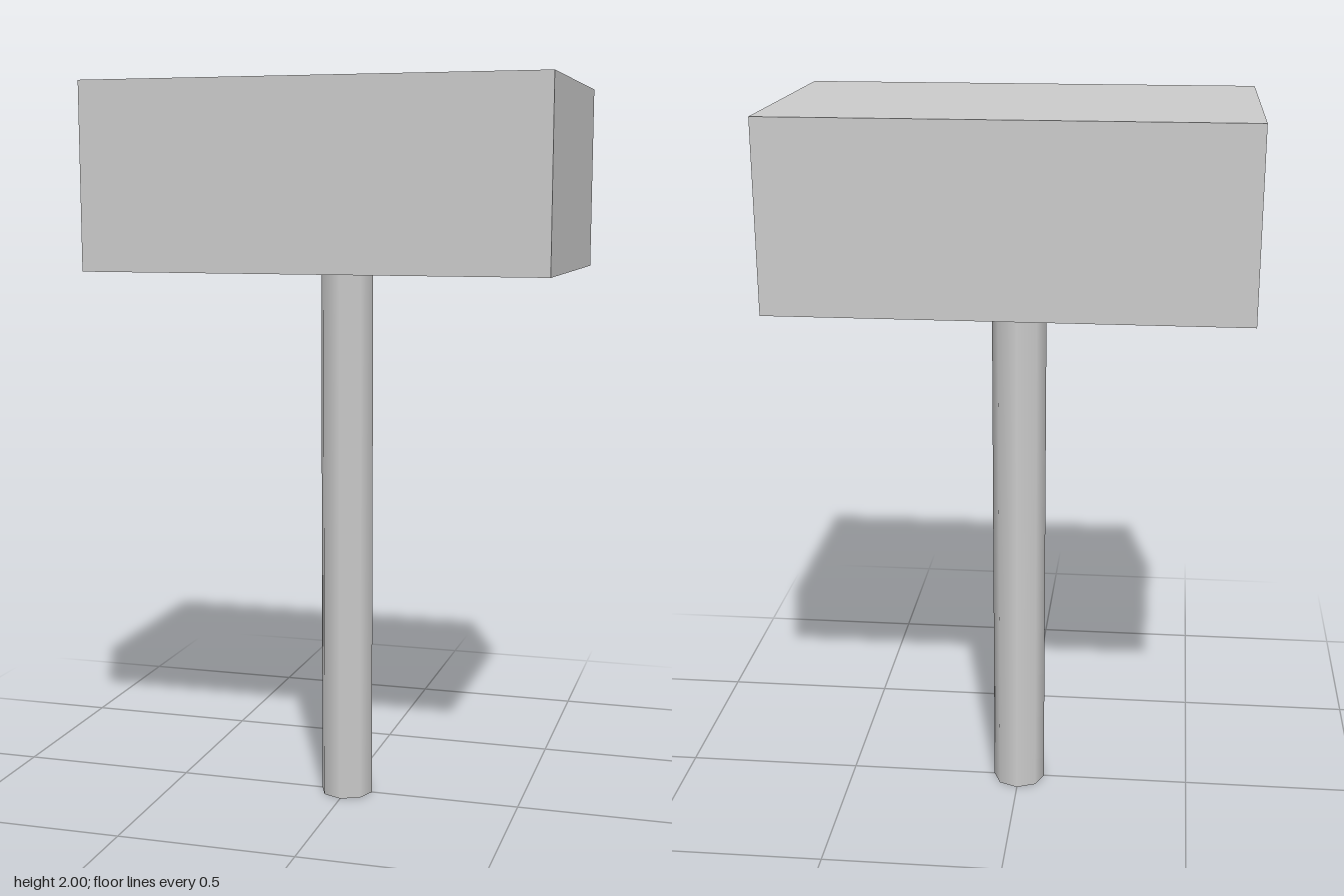
import * as THREE from 'three';

export function createModel() {
  const model = new THREE.Group();
  const material = new THREE.MeshStandardMaterial({ color: 0xcccccc });

  const addPart = (name, geometry, y) => {
    const mesh = new THREE.Mesh(geometry, material);
    mesh.name = name;
    mesh.position.y = y;
    model.add(mesh);
  };

  // Low-sided round handle, smooth shaded, standing on the ground
  const handleHeight = 1.493;
  addPart('handle', new THREE.CylinderGeometry(0.0745, 0.0745, handleHeight, 8), handleHeight / 2);

  // Block head, with a hairline gap above the handle
  const headHeight = 0.495;
  addPart('head', new THREE.BoxGeometry(1.242, headHeight, 0.745), 2 - headHeight / 2);

  return model;
}
